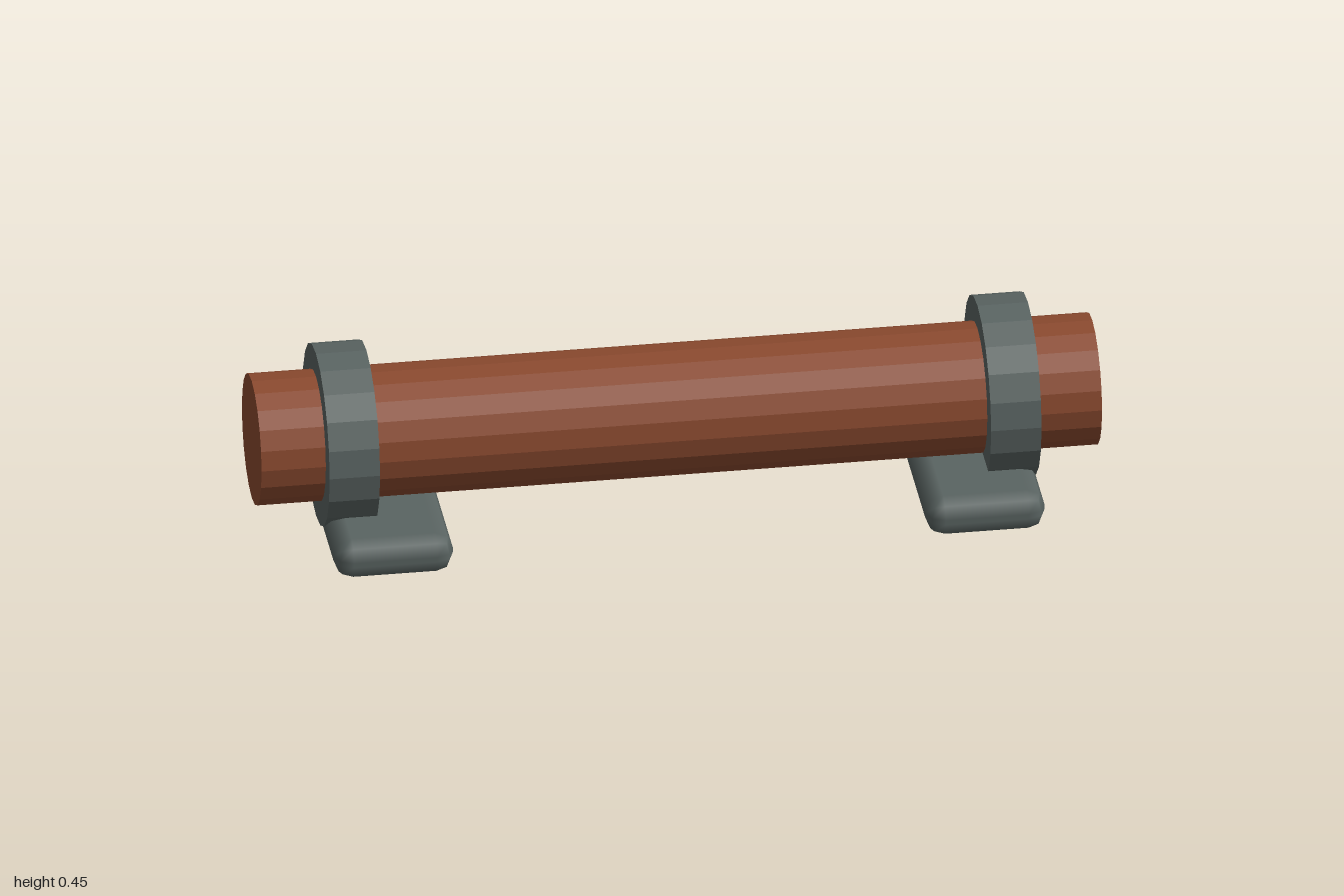
import * as THREE from 'three';
import { RoundedBoxGeometry } from 'three/addons/geometries/RoundedBoxGeometry.js';

const SIDES = 20;
const AXIS_Y = 0.232;   // height of the log's axis
const LOG_R = 0.157;
const RING_R = 0.218;
const RING_W = 0.12;
const OUTER_X = 0.847;  // outer face of the rings and feet

function material(name, color) {
  const m = new THREE.MeshStandardMaterial({ color, flatShading: true });
  m.name = name;
  return m;
}

export function createModel() {
  const model = new THREE.Group();
  model.name = 'logOnStands';

  const wood = material('reddish brown wood', 0x8b4a2f);
  const metal = material('dark grey metal', 0x5a6462);
  const smoothMetal = metal;

  const add = (name, geometry, mat, x, y, parent) => {
    const mesh = new THREE.Mesh(geometry, mat);
    mesh.name = name;
    mesh.position.set(x, y, 0);
    parent.add(mesh);
    return mesh;
  };

  // Long faceted log lying along x
  const logGeo = new THREE.CylinderGeometry(LOG_R, LOG_R, 2, SIDES).rotateZ(Math.PI / 2);
  add('log', logGeo, wood, 0, AXIS_Y, model);

  // Flat-sided clamp ring, fitted round the log
  const h = RING_W / 2;
  const profile = [[LOG_R - 0.005, -h], [RING_R, -h], [RING_R, h], [LOG_R - 0.005, h]]
    .map(([r, y]) => new THREE.Vector2(r, y));
  const ringGeo = new THREE.LatheGeometry(profile, SIDES).rotateZ(Math.PI / 2);

  // Softly bevelled foot bar running front to back
  const footGeo = new RoundedBoxGeometry(0.284, 0.098, 0.63, 1, 0.043);
  metal.flatShading = false;
  const facetedRing = ringGeo.toNonIndexed();
  facetedRing.computeVertexNormals();

  for (const [side, s] of [['left', 1], ['right', -1]]) {
    const stand = new THREE.Group();
    stand.name = side + 'Stand';
    add(side + 'Ring', facetedRing, metal, s * (OUTER_X - h), AXIS_Y, stand);
    add(side + 'Foot', footGeo, smoothMetal, s * (OUTER_X - 0.143), 0.049, stand);
    model.add(stand);
  }
  return model;
}
